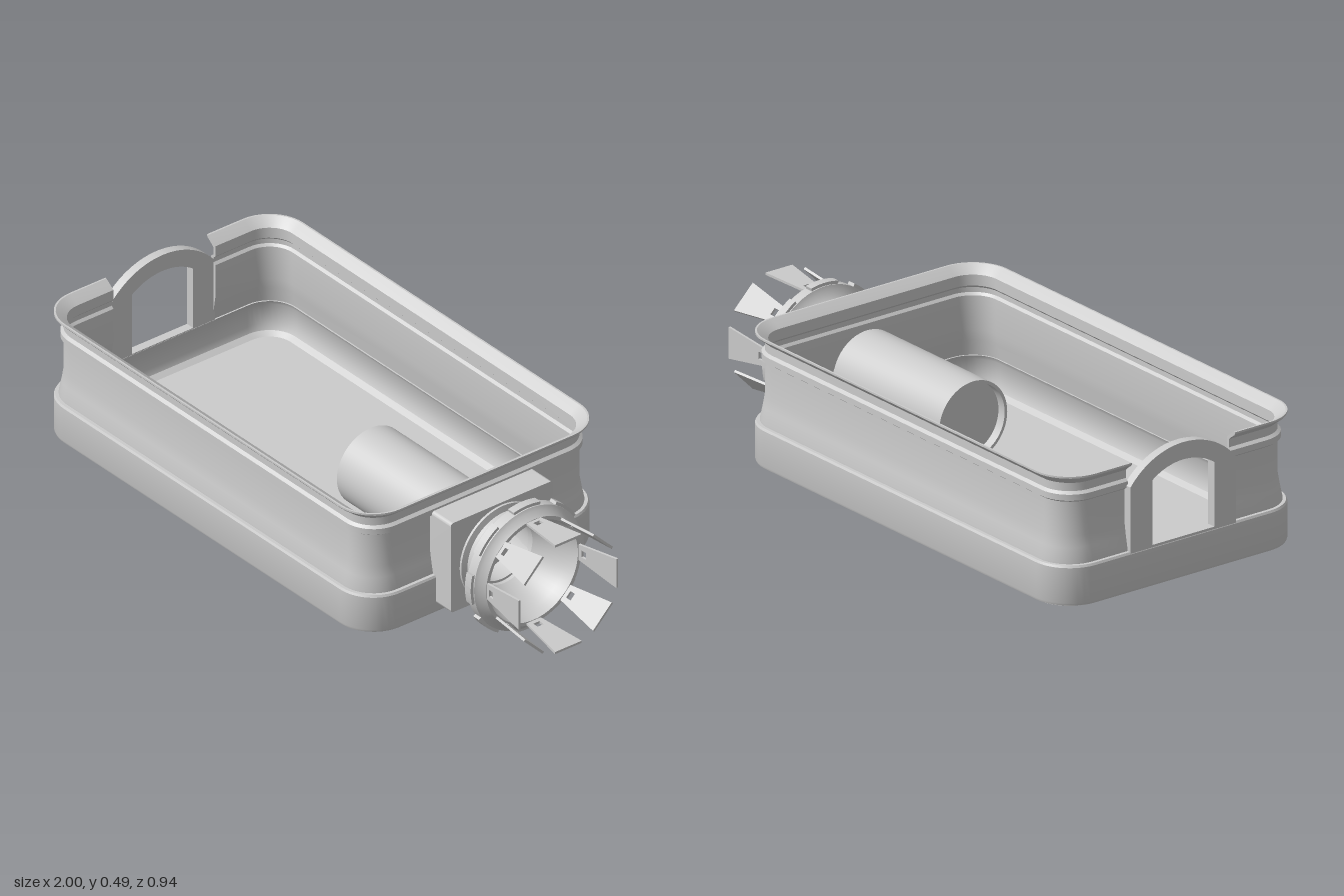
import * as THREE from 'three';
import { toCreasedNormals } from 'three/addons/utils/BufferGeometryUtils.js';

const mat = new THREE.MeshStandardMaterial({ color: 0xcccccc, side: THREE.DoubleSide });
const AXIS = 0.222;                                   // height of the spout axis
const HALF_X = 0.8025, HALF_Z = 0.47, CORNER = 0.13, MID_X = -0.1975, GAP = 0.2;

function part(name, geometry, crease = 0.5) {
  const mesh = new THREE.Mesh(toCreasedNormals(geometry, crease), mat);
  mesh.name = name;
  return mesh;
}

// Rounded-rectangle outline inset by d, starting and ending beside the end opening
function outline(d) {
  const pts = [[MID_X - HALF_X + d, -GAP]];
  [[-1, -1], [1, -1], [1, 1], [-1, 1]].forEach(([sx, sz], k) => {
    for (let i = 0; i <= 10; i++) {
      const a = Math.PI + (k + i / 10) * Math.PI / 2;
      pts.push([
        MID_X + sx * (HALF_X - CORNER) + (CORNER - d) * Math.cos(a),
        sz * (HALF_Z - CORNER) + (CORNER - d) * Math.sin(a),
      ]);
    }
  });
  pts.push([MID_X - HALF_X + d, GAP]);
  return pts;
}

// Sweep a closed (inset, height) section round the outline
function sweepWall(section, closed) {
  const cols = section.map(([d, y]) => outline(d).map(([x, z]) => [x, y, z]));
  const n = cols[0].length, m = section.length, pos = [];
  const tri = (a, b, c) => pos.push(...a, ...b, ...c);
  for (let i = 0; i < (closed ? n : n - 1); i++) {
    const k = (i + 1) % n;
    for (let j = 0; j < m; j++) {
      const p = cols[j], q = cols[(j + 1) % m];
      tri(p[i], q[i], q[k]);
      tri(p[i], q[k], p[k]);
    }
  }
  if (!closed) {
    const faces = THREE.ShapeUtils.triangulateShape(section.map(([d, y]) => new THREE.Vector2(-d, y)), []);
    for (const [a, b, c] of faces) {
      tri(cols[a][0], cols[b][0], cols[c][0]);
      tri(cols[a][n - 1], cols[c][n - 1], cols[b][n - 1]);
    }
  }
  const g = new THREE.BufferGeometry();
  g.setAttribute('position', new THREE.Float32BufferAttribute(pos, 3));
  return g;
}

// Lathe around the x axis from (x, radius) points, outside first
function latheX(name, points) {
  const mesh = part(name, new THREE.LatheGeometry(points.map(([x, r]) => new THREE.Vector2(r, x)), 56));
  mesh.rotation.z = -Math.PI / 2;
  mesh.position.y = AXIS;
  return mesh;
}

const extrude = (shape, depth) => new THREE.ExtrudeGeometry(shape, { depth, bevelEnabled: false, curveSegments: 24 });

export function createModel() {
  const model = new THREE.Group();
  model.name = 'trayWithSpout';

  // Floor and lower wall
  const floor = part('trayFloor', extrude(new THREE.Shape(outline(0.01).map(([x, z]) => new THREE.Vector2(x, z))), 0.018));
  floor.rotation.x = Math.PI / 2;
  floor.position.y = 0.058;
  model.add(floor);
  model.add(part('lowerWall', sweepWall([
    [0.012, 0.041], [0.003, 0.044], [0, 0.052], [0, 0.168], [0.004, 0.175], [0.032, 0.175],
    [0.024, 0.16], [0.022, 0.09], [0.03, 0.07], [0.05, 0.057],
  ], true)));

  // Waisted upper wall with bead and flared rim, open at one end
  model.add(part('upperWall', sweepWall([
    [0.015, 0.17], [0.015, 0.18], [0.024, 0.225], [0.03, 0.262], [0.03, 0.375], [0.02, 0.382], [0.02, 0.402],
    [0.03, 0.41], [0.03, 0.437], [0.02, 0.446], [0.004, 0.458], [0, 0.463], [0, 0.469], [0.006, 0.469],
    [0.026, 0.455], [0.04, 0.444], [0.04, 0.408], [0.032, 0.4], [0.032, 0.384], [0.04, 0.376],
    [0.04, 0.262], [0.034, 0.225], [0.026, 0.17],
  ], false)));

  // Arched end plate with window
  const arch = (half, r, bottom, ShapeType) => {
    const s = new ShapeType();
    const a = Math.acos(half / r);
    s.moveTo(-half, bottom);
    s.lineTo(half, bottom);
    s.absarc(0, 0.225, r, a, Math.PI - a, false);
    s.closePath();
    return s;
  };
  const plateShape = arch(0.205, 0.262, 0.17, THREE.Shape);
  plateShape.holes.push(arch(0.12, 0.205, 0.178, THREE.Path));
  const plate = part('windowPlate', extrude(plateShape, 0.03));
  plate.rotation.y = -Math.PI / 2;
  plate.position.x = -0.969;
  model.add(plate);

  // Square mounting block pierced by the tube
  const c = 0.01, hz = 0.2 - c, hy = 0.16 - c;
  const blockShape = new THREE.Shape();
  [[1, 1], [-1, 1], [-1, -1], [1, -1]].forEach(([sx, sy], k) =>
    blockShape.absarc(sx * hz, sy * hy, c, k * Math.PI / 2, (k + 1) * Math.PI / 2, false));
  blockShape.closePath();
  const bore = new THREE.Path();
  bore.absarc(0, 0, 0.115, 0, Math.PI * 2, true);
  blockShape.holes.push(bore);
  const block = part('mountingBlock', extrude(blockShape, 0.1));
  block.rotation.y = Math.PI / 2;
  block.position.set(0.577, 0.235, 0);
  model.add(block);

  // Inner tube with recessed end disc
  model.add(latheX('innerTube', [[0.04, 0.122], [0.04, 0.132], [0.69, 0.132], [0.69, 0.11], [0.04, 0.122]]));
  model.add(latheX('tubeEndDisc', [[0.07, 0], [0.07, 0.123], [0.08, 0.123], [0.08, 0]]));

  // Flared collar with funnel mouth
  model.add(latheX('collar', [
    [0.67, 0.11], [0.67, 0.165], [0.685, 0.165], [0.69, 0.145], [0.71, 0.145], [0.712, 0.155], [0.73, 0.16],
    [0.75, 0.178], [0.765, 0.198], [0.77, 0.212], [0.805, 0.212], [0.812, 0.2], [0.832, 0.186],
    [0.832, 0.174], [0.79, 0.17], [0.69, 0.11], [0.67, 0.11],
  ]));

  // Ring lugs and splayed prongs
  const lugShape = new THREE.Shape();
  lugShape.absarc(0, 0, 0.222, -0.24, 0.24, false);
  lugShape.absarc(0, 0, 0.2, 0.24, -0.24, true);
  lugShape.closePath();
  const lugGeo = extrude(lugShape, 0.028);
  lugGeo.rotateY(Math.PI / 2).rotateX(Math.PI / 2);

  const prongShape = new THREE.Shape([[0, -0.026], [0.181, -0.052], [0.181, 0.052], [0, 0.026]]
    .map(p => new THREE.Vector2(...p)));
  prongShape.holes.push(new THREE.Path([[0.025, -0.012], [0.025, 0.012], [0.045, 0.012], [0.045, -0.012]]
    .map(p => new THREE.Vector2(...p))));
  const prongGeo = extrude(prongShape, 0.008);
  prongGeo.rotateX(Math.PI / 2).rotateZ(0.07);

  for (let i = 0; i < 8; i++) {
    const sector = new THREE.Group();
    sector.name = 'prongSector';
    sector.position.y = AXIS;
    sector.rotation.x = i * Math.PI / 4;
    const lug = part('ringLug', lugGeo);
    lug.position.x = 0.773;
    const prong = part('prong', prongGeo);
    prong.position.set(0.82, 0.183, 0);
    sector.add(lug, prong);
    model.add(sector);
  }
  return model;
}
